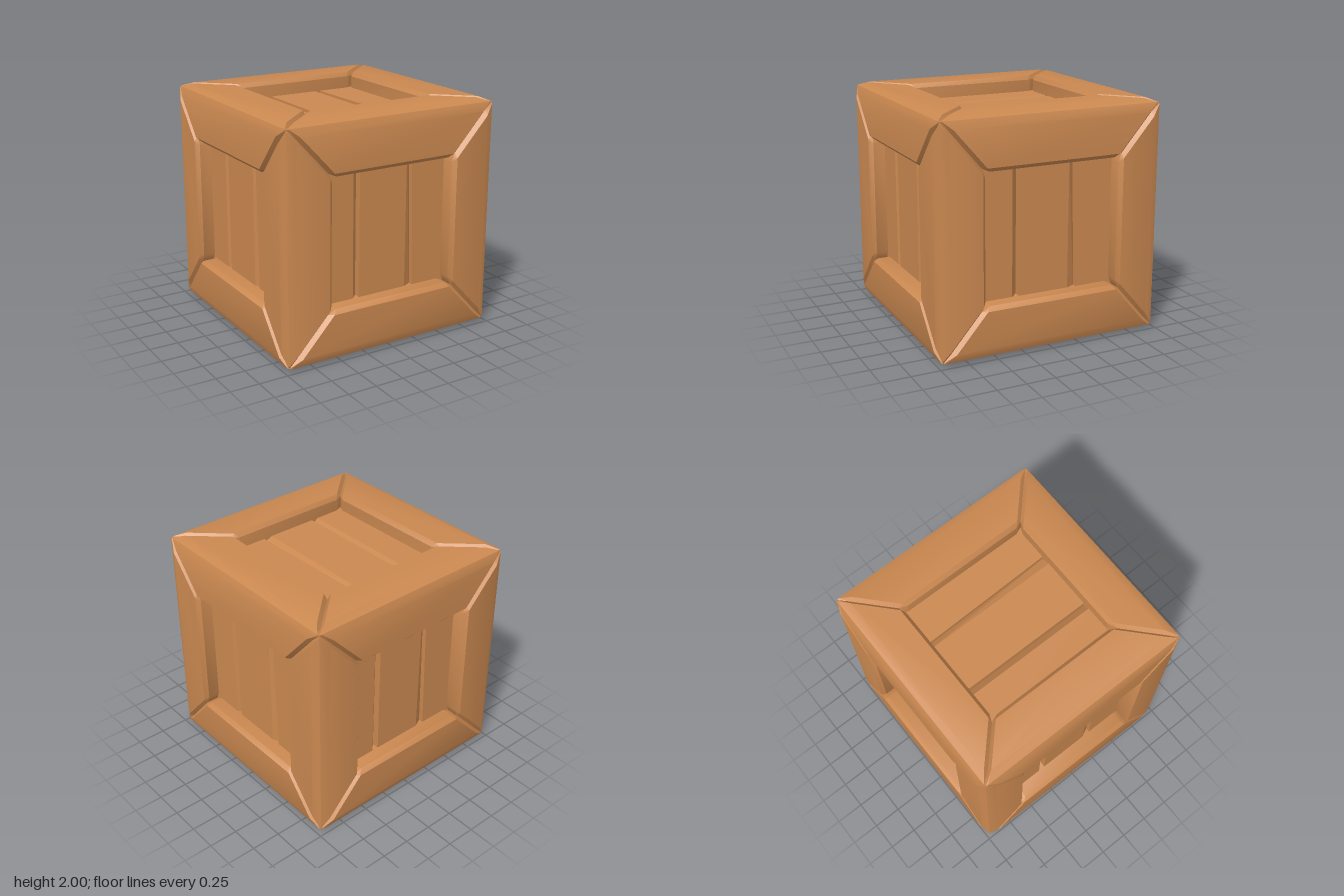
import * as THREE from 'three';
import { toCreasedNormals } from 'three/addons/utils/BufferGeometryUtils.js';

const INNER = 0.575; // half width of the recess before per-axis adjustment
const INSET = INNER + 0.03;

// Cross-section of a corner beam; the outer corner is near (1, 1)
const SECTION = [
  [INNER, 0.8], [INNER, 0.965], [0.607, 1], [0.9, 1], [0.97, 0.97],
  [1, 0.9], [1, 0.607], [0.965, INNER], [0.8, INNER], [0.8, 0.8],
];

// Beam along x with mitred, chamfered ends
function beamGeometry() {
  const inset = (c) => Math.min(Math.max(c, INSET), 0.965);
  const main = SECTION.map(([p, q]) => {
    const m = Math.min(p, q);
    return [m - (m > 0.95 ? 0.02 : 0.04), p, q];
  });
  const tip = SECTION.map(([p, q]) => [Math.min(inset(p), inset(q)), inset(p), inset(q)]);
  const stations = [[tip, -1], [main, -1], [main, 1], [tip, 1]];
  const positions = [];
  for (const [ring, s] of stations) for (const [t, p, q] of ring) positions.push(s * t, p, q);

  const n = SECTION.length;
  const index = [];
  for (let k = 0; k < 3; k++) {
    for (let i = 0; i < n; i++) {
      const j = (i + 1) % n;
      const a = k * n + i, b = (k + 1) * n + i, c = (k + 1) * n + j, d = k * n + j;
      index.push(a, b, c, a, c, d);
    }
  }
  // End caps fan out from the inner corner
  for (let i = 0; i < n - 2; i++) {
    index.push(n - 1, i, i + 1);
    index.push(4 * n - 1, 3 * n + i + 1, 3 * n + i);
  }
  const g = new THREE.BufferGeometry();
  g.setAttribute('position', new THREE.Float32BufferAttribute(positions, 3));
  g.setIndex(index);
  return g;
}

// Shift the recess edges slightly on each axis, leaving the outer corners fixed
function fitRecess(g) {
  const shift = [0, -0.027, 0.022];
  const pos = g.attributes.position;
  for (let i = 0; i < pos.count; i++) {
    for (let a = 0; a < 3; a++) {
      const c = pos.getComponent(i, a);
      const k = Math.min(1, Math.max(0, (0.9 - Math.abs(c)) / (0.9 - INNER)));
      pos.setComponent(i, a, c + Math.sign(c) * shift[a] * k);
    }
  }
  return toCreasedNormals(g, 0.5);
}

// Recessed panel of three planks; the second groove is slightly slanted
function panelGeometry() {
  const half = 0.65, top = 0.86;
  const shape = new THREE.Shape([
    [-half, 0.78], [half, 0.78], [half, top], [0.265, top], [0.265, 0.82], [0.2, top],
    [-0.25, top], [-0.25, 0.8], [-0.31, top], [-half, top],
  ].map(([x, y]) => new THREE.Vector2(x, y)));
  const g = new THREE.ExtrudeGeometry(shape, { depth: 2 * half, bevelEnabled: false });
  g.translate(0, 0, -half);
  const pos = g.attributes.position;
  for (let i = 0; i < pos.count; i++) {
    if (Math.abs(pos.getX(i) - 0.265) < 0.001) pos.setX(i, 0.265 + 0.025 * pos.getZ(i));
  }
  g.rotateX(Math.PI / 2);
  g.computeVertexNormals();
  return g;
}

export function createModel() {
  const model = new THREE.Group();
  model.name = 'crate';
  const wood = new THREE.MeshStandardMaterial({ color: 0xca8850 });
  wood.name = 'wood';
  const H = Math.PI / 2;

  // Twelve frame beams, four around each axis
  const frame = new THREE.Group();
  frame.name = 'frame';
  const base = beamGeometry();
  for (let k = 0; k < 4; k++) {
    const beams = {
      crossBeam: base.clone().rotateX(k * H),
      uprightBeam: base.clone().rotateZ(H).rotateY(k * H),
      depthBeam: base.clone().rotateY(H).rotateZ(k * H),
    };
    for (const [name, g] of Object.entries(beams)) {
      const mesh = new THREE.Mesh(fitRecess(g), wood);
      mesh.name = name + (k + 1);
      frame.add(mesh);
    }
  }
  model.add(frame);

  // Six plank panels
  const panel = panelGeometry();
  const faces = {
    frontPanel: [0, 0], leftPanel: [0, H], backPanel: [0, 2 * H], rightPanel: [0, -H],
    topPanel: [-H, 0], bottomPanel: [H, 0],
  };
  for (const [name, [rx, ry]] of Object.entries(faces)) {
    const mesh = new THREE.Mesh(panel, wood);
    mesh.name = name;
    mesh.rotation.set(rx, ry, 0);
    model.add(mesh);
  }

  for (const part of model.children) part.position.y = 1;
  return model;
}
